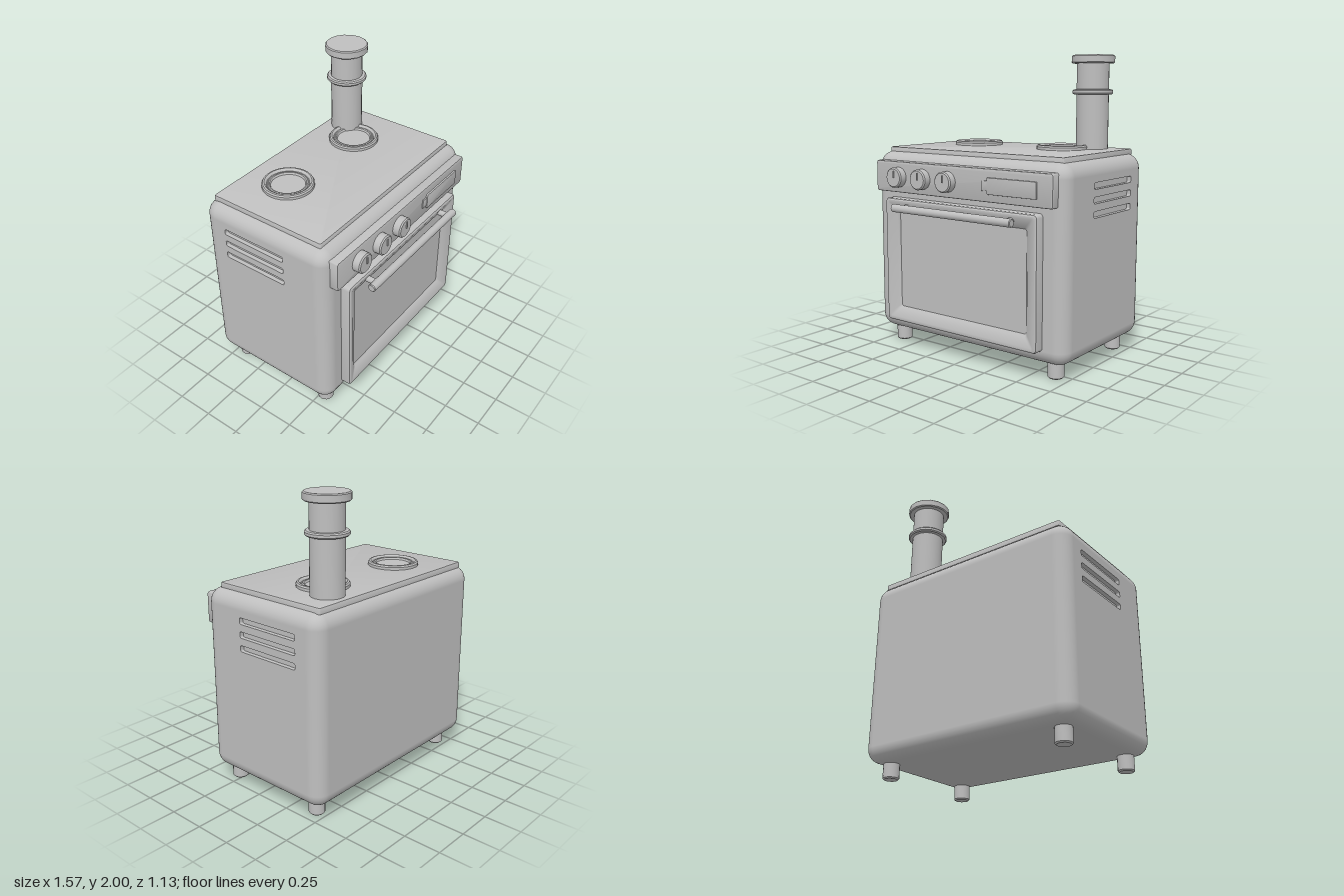
import * as THREE from 'three';
import { mergeGeometries, toCreasedNormals } from 'three/addons/utils/BufferGeometryUtils.js';
import { RoundedBoxGeometry } from 'three/addons/geometries/RoundedBoxGeometry.js';

const enamel = new THREE.MeshStandardMaterial({ color: 0xbfbfbf });
enamel.name = 'grey enamel';

// Rounded rectangle outline centred on the origin, counter-clockwise
function rectPoints(w, h, r, steps = 4) {
  const points = [];
  [[1, 1], [-1, 1], [-1, -1], [1, -1]].forEach(([sx, sy], corner) => {
    for (let i = 0; i <= steps; i++) {
      const a = (corner + i / steps) * Math.PI / 2;
      points.push(new THREE.Vector2(sx * (w / 2 - r) + r * Math.cos(a), sy * (h / 2 - r) + r * Math.sin(a)));
    }
  });
  return points;
}

// Skin through rounded rectangles [inset, z, radius], closed by flat caps, facing +z
function panelGeometry(w, h, sections) {
  const positions = [], indices = [];
  const n = 20, last = sections.length - 1;
  for (const [inset, z, r] of sections) {
    for (const p of rectPoints(w - 2 * inset, h - 2 * inset, r)) positions.push(p.x, p.y, z);
  }
  for (let k = 0; k < last; k++) {
    for (let i = 0; i < n; i++) {
      const a = k * n + i, b = k * n + (i + 1) % n;
      indices.push(a, b, b + n, a, b + n, a + n);
    }
  }
  for (let i = 1; i < n - 1; i++) {
    indices.push(last * n, last * n + i, last * n + i + 1);
    indices.push(0, i + 1, i);
  }
  const g = new THREE.BufferGeometry();
  g.setAttribute('position', new THREE.Float32BufferAttribute(positions, 3));
  g.setIndex(indices);
  return toCreasedNormals(g, 0.6);
}

// Plate with softly rounded front edges
function plate(w, h, depth, r, bevel) {
  return panelGeometry(w, h, [[0, 0, r], [0, depth - bevel, r], [bevel * 0.3, depth - bevel * 0.3, r], [bevel, depth, r * 0.8]]);
}

function lathe(profile, segments) {
  const points = profile.map(([x, y]) => new THREE.Vector2(x, y));
  return toCreasedNormals(new THREE.LatheGeometry(points, segments), 0.6);
}

// Cabinet shell whose flat sides are replaced by plates with vent slots
function cabinetGeometry(w, h, d, r) {
  const depth = 0.03, pos = [], nor = [];
  const shell = new RoundedBoxGeometry(w, h, d, 4, r);
  const p = shell.attributes.position, q = shell.attributes.normal;
  for (let i = 0; i < p.count; i += 3) {
    if ([0, 1, 2].every(k => Math.abs(p.getX(i + k)) > w / 2 - 1e-4)) continue;
    for (let k = i; k < i + 3; k++) {
      pos.push(p.getX(k), p.getY(k), p.getZ(k));
      nor.push(q.getX(k), q.getY(k), q.getZ(k));
    }
  }
  const skin = new THREE.BufferGeometry();
  skin.setAttribute('position', new THREE.Float32BufferAttribute(pos, 3));
  skin.setAttribute('normal', new THREE.Float32BufferAttribute(nor, 3));
  const parts = [skin];
  for (const side of [1, -1]) {
    const shape = new THREE.Shape(rectPoints(d - 2 * r, h - 2 * r, 0.0005, 4));
    for (const y of [1.19, 1.1, 1.01]) {
      const slot = rectPoints(0.47, 0.042, 0.012).map(v => v.add(new THREE.Vector2(side * 0.07, y - 0.725)));
      shape.holes.push(new THREE.Path(slot));
    }
    const front = new THREE.ExtrudeGeometry(shape, { depth, bevelEnabled: false });
    const back = new THREE.PlaneGeometry(d - 2 * r, h - 2 * r).toNonIndexed();
    for (const g of [front, back]) {
      if (g === front) g.translate(0, 0, w / 2 - depth);
      else g.translate(0, 0, w / 2 - depth + 0.002);
      g.rotateY(side * Math.PI / 2);
      g.deleteAttribute('uv');
      parts.push(g);
    }
  }
  return mergeGeometries(parts);
}

export function createModel() {
  const model = new THREE.Group();
  model.name = 'stove';
  function add(name, geometry, x = 0, y = 0, z = 0) {
    const mesh = new THREE.Mesh(geometry, enamel);
    mesh.name = name;
    mesh.position.set(x, y, z);
    model.add(mesh);
    return mesh;
  }

  add('cabinet', cabinetGeometry(1.57, 1.25, 0.97, 0.095), 0, 0.725, -0.08);

  // Feet
  const foot = lathe([[0, 0], [0.045, 0], [0.053, 0.008], [0.053, 0.12]], 16);
  for (const x of [-0.65, 0.65]) for (const z of [-0.425, 0.285]) add('foot', foot, x, 0, z);

  // Cooktop and burners
  add('cooktop', plate(1.435, 0.845, 0.04, 0.012, 0.008), 0, 1.34, -0.097).rotation.x = -Math.PI / 2;
  const burner = lathe([
    [0.17, 1.375], [0.17, 1.398], [0.163, 1.408], [0.152, 1.41], [0.143, 1.405], [0.138, 1.395],
    [0.132, 1.395], [0.126, 1.4], [0.118, 1.398], [0.112, 1.385], [0, 1.385]
  ], 32);
  for (const x of [-0.357, 0.353]) add('burner', burner, x, 0, -0.215);

  // Chimney pipe with collar and cap
  add('chimneyPipe', lathe([[0.108, 1.36], [0.108, 1.96]], 20), 0.49, 0, -0.375);
  add('chimneyCollar', lathe([
    [0.105, 1.74], [0.128, 1.742], [0.136, 1.75], [0.136, 1.766], [0.128, 1.774], [0.105, 1.776]
  ], 20), 0.49, 0, -0.375);
  add('chimneyCap', lathe([
    [0.105, 1.945], [0.138, 1.945], [0.145, 1.952], [0.145, 1.993], [0.138, 2], [0, 2]
  ], 16), 0.49, 0, -0.375);

  // Control panel, display and knobs
  add('controlPanel', plate(1.452, 0.21, 0.065, 0.015, 0.01), 0, 1.19, 0.39);
  add('display', plate(0.37, 0.105, 0.02, 0.006, 0.003), 0.43, 1.188, 0.447);
  add('displayTab', plate(0.05, 0.065, 0.016, 0.004, 0.003), 0.224, 1.188, 0.447);
  const knob = lathe([[0.068, 0], [0.068, 0.052], [0.06, 0.06], [0, 0.06]], 24);
  for (const x of [-0.515, -0.3, -0.083]) {
    add('knob', knob, x, 1.19, 0.45).rotation.x = Math.PI / 2;
    add('knobPointer', new THREE.BoxGeometry(0.008, 0.048, 0.02), x + 0.006, 1.213, 0.507);
  }

  // Oven door with sloped frame around a sunken window
  add('ovenDoor', panelGeometry(1.255, 0.855, [
    [0, 0.39, 0.025], [0, 0.458, 0.025], [0.004, 0.467, 0.024], [0.013, 0.472, 0.02],
    [0.03, 0.47, 0.016], [0.085, 0.445, 0.015], [0.1, 0.43, 0.015]
  ]), -0.002, 0.6175, 0);

  // Door handle on two posts
  const bar = lathe([[0, -0.492], [0.022, -0.492], [0.027, -0.487], [0.027, 0.487], [0.022, 0.492], [0, 0.492]], 16);
  add('handleBar', bar, -0.002, 0.992, 0.536).rotation.z = Math.PI / 2;
  for (const x of [-0.43, 0.43]) {
    add('handlePost', new THREE.CylinderGeometry(0.021, 0.021, 0.09, 12), x, 0.992, 0.495).rotation.x = Math.PI / 2;
  }
  return model;
}
